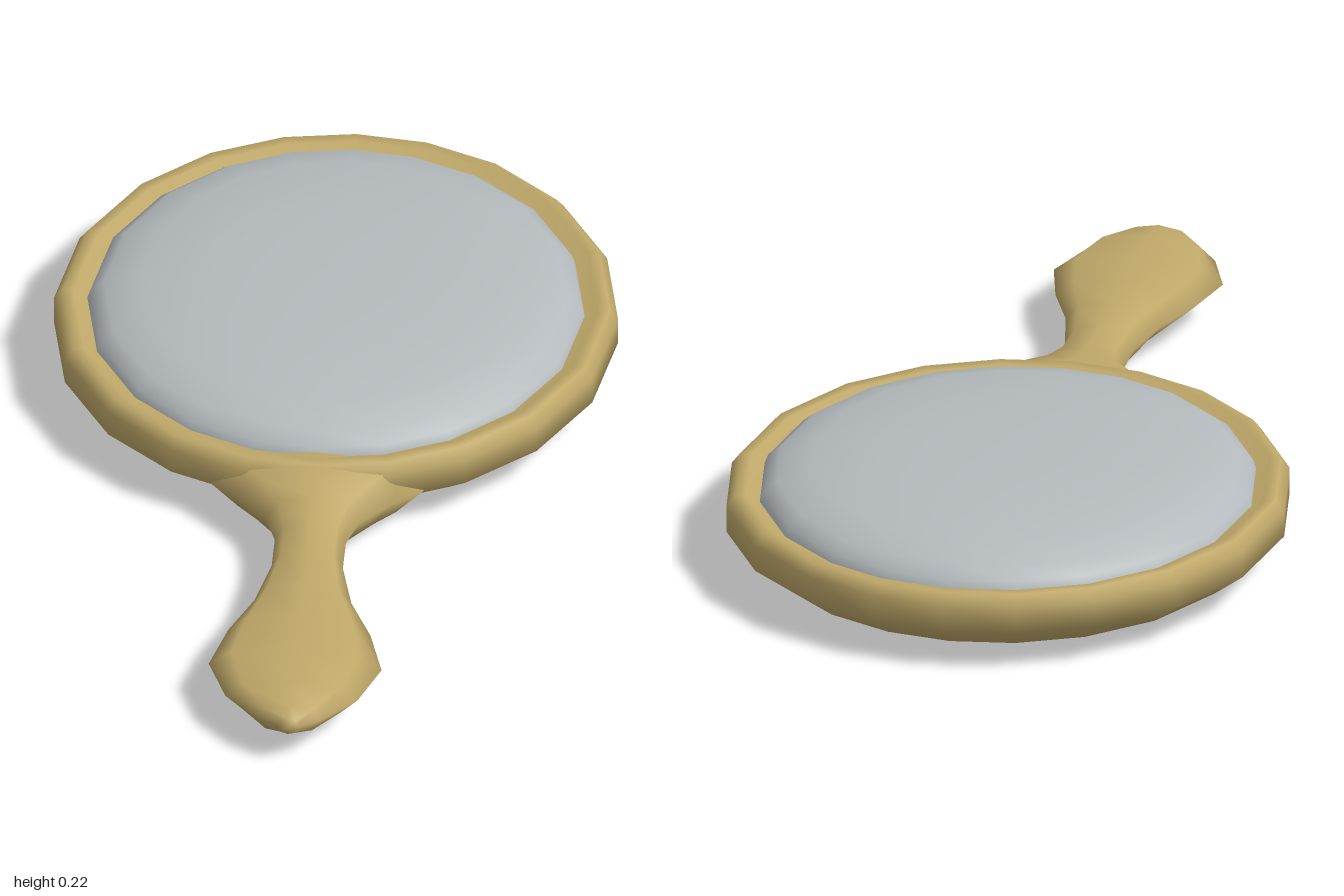
import * as THREE from 'three';
import { mergeVertices } from 'three/addons/utils/BufferGeometryUtils.js';

const SEGMENTS = 20;
const HEAD_Z = -0.4;
const frameMaterial = new THREE.MeshStandardMaterial({ color: 0xbfa869 });
const glassMaterial = new THREE.MeshStandardMaterial({ color: 0xb4babd });

function weld(geometry) {
  geometry.deleteAttribute('uv');
  geometry.deleteAttribute('normal');
  const welded = mergeVertices(geometry, 1e-4);
  welded.computeVertexNormals();
  return welded;
}

// Oval disc: turned profile of [radius fraction, height], stretched to rx by rz,
// with facets slightly tighter towards the two long ends.
function ovalDisc(profile, rx, rz) {
  const geometry = new THREE.LatheGeometry(profile.map(([r, y]) => new THREE.Vector2(r, y)), SEGMENTS);
  const p = geometry.attributes.position;
  for (let i = 0; i < p.count; i++) {
    const r = Math.hypot(p.getX(i), p.getZ(i));
    const a = Math.atan2(p.getX(i), p.getZ(i));
    const b = a - 0.085 * Math.sin(2 * a);
    p.setXYZ(i, rx * r * Math.sin(b), p.getY(i), HEAD_Z + rz * r * Math.cos(b));
  }
  return weld(geometry);
}

// Handle: flattened eight-sided sections [z, half width, bottom, top]
function handleGeometry(rows) {
  const positions = [], index = [];
  for (const [z, w, bottom, top] of rows) {
    const mid = (bottom + top) / 2, half = (top - bottom) / 2;
    const section = [[1, 0], [0.74, 0.74], [0, 1], [-0.74, 0.74], [-1, 0], [-0.74, -0.74], [0, -1], [0.74, -0.74]];
    for (const [x, y] of section) positions.push(x * w, mid + y * half, z);
  }
  for (let i = 0; i < rows.length - 1; i++) {
    for (let j = 0; j < 8; j++) {
      const k = (j + 1) % 8;
      const a = i * 8 + j, b = i * 8 + k, c = a + 8, d = b + 8;
      index.push(a, b, c, b, d, c);
    }
  }
  const geometry = new THREE.BufferGeometry();
  geometry.setAttribute('position', new THREE.Float32BufferAttribute(positions, 3));
  geometry.setIndex(index);
  return weld(geometry);
}

export function createModel() {
  const model = new THREE.Group();
  model.name = 'handMirror';
  const add = (name, geometry, material) => {
    const mesh = new THREE.Mesh(geometry, material);
    mesh.name = name;
    model.add(mesh);
  };

  // Rounded back, raised rim and the recess under the glass
  add('frame', ovalDisc([
    [0, 0], [0.32, 0.001], [0.62, 0.007], [0.88, 0.03], [1, 0.082],
    [1, 0.135], [0.97, 0.157], [0.93, 0.156], [0.88, 0.14], [0.8, 0.135], [0, 0.135],
  ], 0.555, 0.6), frameMaterial);

  // Gently domed mirror
  add('mirrorGlass', ovalDisc([
    [1, 0.138], [0.985, 0.158], [0.93, 0.18], [0.79, 0.203], [0.51, 0.216], [0.25, 0.219], [0, 0.22],
  ], 0.49, 0.53), glassMaterial);

  // Flared neck, waist and paddle-shaped grip
  add('handle', handleGeometry([
    [0.05, 0.25, 0.012, 0.13],
    [0.15, 0.21, 0.014, 0.156],
    [0.2, 0.155, 0.018, 0.156],
    [0.27, 0.092, 0.027, 0.142],
    [0.34, 0.07, 0.037, 0.13],
    [0.43, 0.07, 0.041, 0.126],
    [0.55, 0.095, 0.041, 0.125],
    [0.66, 0.14, 0.041, 0.125],
    [0.78, 0.17, 0.041, 0.125],
    [0.89, 0.13, 0.043, 0.124],
    [0.965, 0.062, 0.052, 0.116],
    [0.99, 0.02, 0.066, 0.102],
    [1, 0, 0.085, 0.085],
  ]), frameMaterial);

  return model;
}
